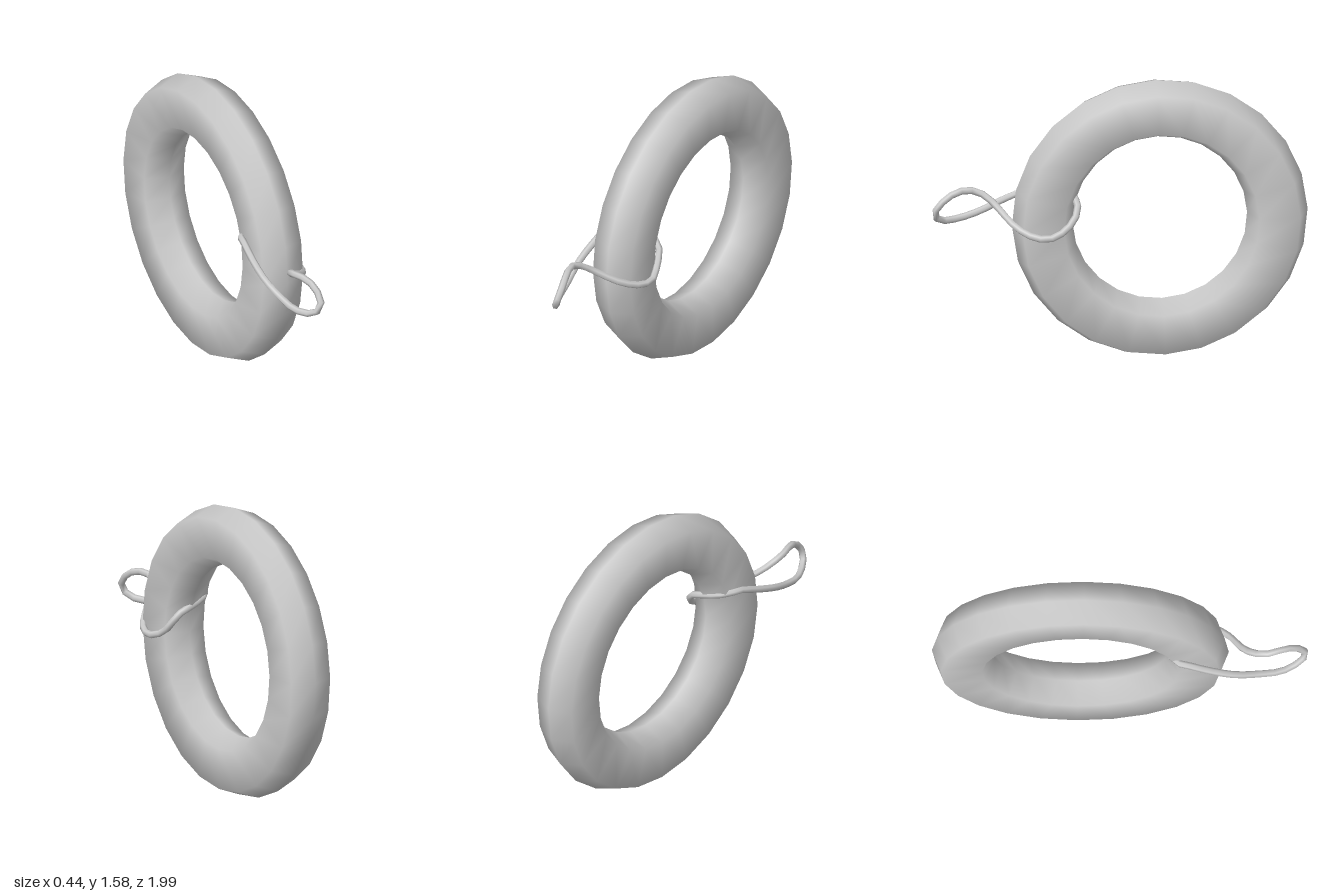
import * as THREE from 'three';
import { mergeVertices } from 'three/addons/utils/BufferGeometryUtils.js';

const material = new THREE.MeshStandardMaterial({ color: 0xcccccc });

// Ring: a flattened six-sided section swept around the x axis, smooth-shaded
function makeRing() {
  const radius = 0.628;
  const section = [
    [-0.161, 0], [-0.105, -0.122], [0.115, -0.122], [0.163, 0],
    [0.115, 0.122], [-0.105, 0.122], [-0.161, 0],
  ].map(([r, w]) => new THREE.Vector2(radius + r, w));
  let geometry = new THREE.LatheGeometry(section, 24, 0.026);
  geometry.deleteAttribute('uv');
  geometry.deleteAttribute('normal');
  geometry = mergeVertices(geometry, 1e-4); // weld seams so the shading is continuous
  geometry.computeVertexNormals();
  geometry.rotateZ(-Math.PI / 2);
  const ring = new THREE.Mesh(geometry, material);
  ring.name = 'ring';
  ring.position.set(0.03, 0.796, -0.213);
  ring.rotation.y = -0.092;
  return ring;
}

// Cord: a closed loop that wraps the ring, crosses over and ends in an eye at the front
function makeCord() {
  const path = [
    [0.06, 0.905, 0.237], [0.098, 0.86, 0.255], [0.115, 0.795, 0.31],
    [0.138, 0.76, 0.4], [0.118, 0.765, 0.48], [0.05, 0.805, 0.57],
    [-0.07, 0.88, 0.65], [-0.115, 0.925, 0.7], [-0.138, 0.953, 0.76],
    [-0.127, 0.96, 0.84], [-0.11, 0.935, 0.91], [-0.107, 0.88, 0.967],
    [-0.117, 0.84, 0.98], [-0.14, 0.797, 0.945], [-0.18, 0.784, 0.845],
    [-0.195, 0.812, 0.72], [-0.206, 0.86, 0.6], [-0.195, 0.91, 0.48],
    [-0.165, 0.965, 0.34], [-0.14, 0.965, 0.28], [-0.04, 0.935, 0.245],
  ].map((p) => new THREE.Vector3(...p));
  const curve = new THREE.CatmullRomCurve3(path, true, 'centripetal');
  const cord = new THREE.Mesh(new THREE.TubeGeometry(curve, 34, 0.019, 6, true), material);
  cord.name = 'cord';
  return cord;
}

export function createModel() {
  const model = new THREE.Group();
  model.name = 'ringWithCord';
  model.add(makeRing(), makeCord());
  return model;
}
